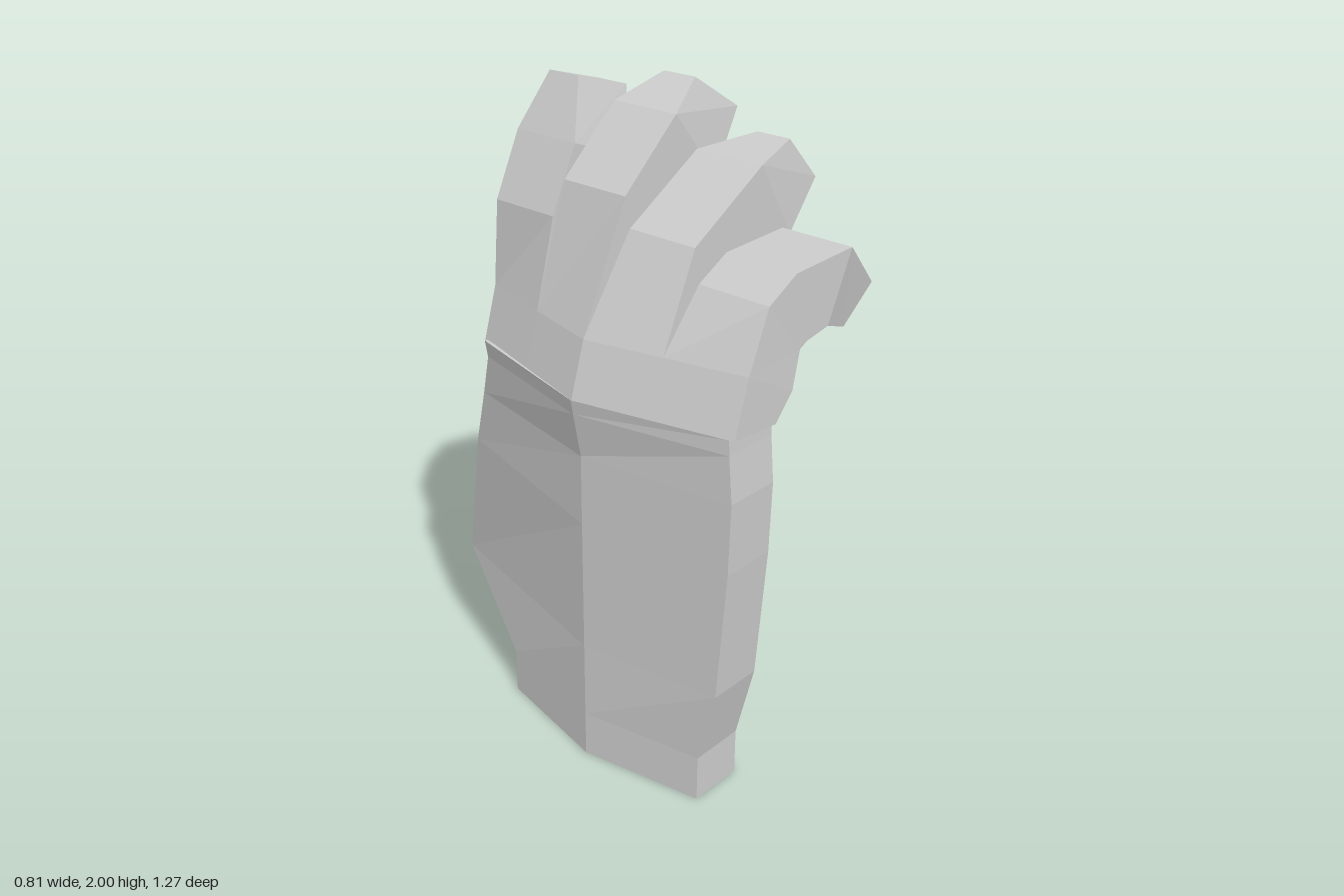
import * as THREE from 'three';

const material = new THREE.MeshStandardMaterial({ color: 0xcccccc, flatShading: true });

// Skin a list of equal-length rings of [x, y, z] and close both ends.
// Rings run counter-clockwise when seen from the far end.
function loft(name, rings) {
  const pos = [];
  const tri = (a, b, c) => pos.push(...a, ...b, ...c);
  const n = rings[0].length;
  for (let k = 0; k < rings.length - 1; k++) {
    for (let i = 0; i < n; i++) {
      const j = (i + 1) % n;
      const [a, b, c, d] = [rings[k][i], rings[k][j], rings[k + 1][j], rings[k + 1][i]];
      tri(a, b, c);
      tri(a, c, d);
    }
  }
  const first = rings[0], last = rings[rings.length - 1];
  for (let i = 1; i < n - 1; i++) {
    tri(first[0], first[i + 1], first[i]);
    tri(last[0], last[i], last[i + 1]);
  }
  const geometry = new THREE.BufferGeometry();
  geometry.setAttribute('position', new THREE.Float32BufferAttribute(pos, 3));
  geometry.computeVertexNormals();
  const mesh = new THREE.Mesh(geometry, material);
  mesh.name = name;
  return mesh;
}

// Six-sided palm ring: y, little-finger side z, inner ridge x, back ridge x,
// then the two corners on the thumb side.
const palmRing = (y, zFront, xInner, xBack, innerCorner, backCorner) => [
  [-0.3, y, zFront], [-0.125, y, zFront], [xInner, y, 0.15],
  innerCorner, backCorner, [xBack, y, 0.15],
];

// Depth of the knuckle line on the back and inner side of the hand
const knuckleBack = (z) => -0.41 + 0.11 * Math.abs(z - 0.15) / 0.47;
const knuckleInner = (z) => -0.085 - 0.04 * Math.abs(z - 0.15) / 0.47;

// Finger: stations of [back x, back y, inner x, inner y], the last one narrowed to the tip
function finger(name, z0, z1, tip0, tip1, stations) {
  const rings = [
    [[knuckleBack(z1), 1.225, z1], [knuckleInner(z1), 1.215, z1],
      [knuckleInner(z0), 1.215, z0], [knuckleBack(z0), 1.225, z0]],
    [[knuckleBack(z1) + 0.05, 1.39, z1], [-0.06, 1.29, z1],
      [-0.06, 1.29, z0], [knuckleBack(z0) + 0.05, 1.39, z0]],
  ];
  stations.forEach(([bx, by, ix, iy], k) => {
    const end = k === stations.length - 1;
    const [a, b] = end ? [tip0, tip1] : [z0 + 0.004, z1 - 0.004];
    rings.push([[bx, by, b], [ix, iy, b], [ix, iy, a], [bx, by, a]]);
  });
  return loft(name, rings);
}

export function createModel() {
  const hand = new THREE.Group();
  hand.name = 'hand';

  // Wrist, palm and knuckles
  hand.add(loft('palm', [
    palmRing(0, 0.54, -0.05, -0.375, [-0.125, 0, -0.245], [-0.3, 0, -0.245]),
    palmRing(0.15, 0.54, -0.05, -0.375, [-0.125, 0.15, -0.245], [-0.3, 0.15, -0.245]),
    palmRing(0.4, 0.6, -0.05, -0.375, [-0.08, 0.37, -0.39], [-0.21, 0.39, -0.55]),
    palmRing(0.82, 0.63, -0.05, -0.375, [-0.06, 0.88, -0.33], [-0.26, 0.85, -0.43]),
    palmRing(1.04, 0.635, -0.05, -0.375, [-0.1, 1.04, -0.32], [-0.28, 1.04, -0.365]),
    palmRing(1.18, 0.622, -0.05, -0.402, [-0.125, 1.18, -0.315], [-0.3, 1.18, -0.315]),
    palmRing(1.225, 0.62, -0.085, -0.41, [-0.125, 1.225, -0.315], [-0.31, 1.235, -0.315]),
  ]));

  // Four curled fingers
  hand.add(finger('littleFinger', 0.392, 0.635, 0.465, 0.582, [
    [-0.17, 1.56, -0.03, 1.4], [-0.06, 1.62, 0, 1.415], [0.18, 1.63, 0.09, 1.43], [0.36, 1.47, 0.235, 1.37],
  ]));
  hand.add(finger('ringFinger', 0.152, 0.392, 0.22, 0.335, [
    [-0.18, 1.66, 0, 1.46], [0.09, 1.825, 0.225, 1.6], [0.275, 1.85, 0.405, 1.715],
  ]));
  hand.add(finger('middleFinger', -0.088, 0.152, -0.037, 0.08, [
    [-0.19, 1.75, 0, 1.52], [0.01, 1.935, 0.18, 1.73], [0.165, 2, 0.355, 1.885],
  ]));
  hand.add(finger('indexFinger', -0.328, -0.088, -0.28, -0.165, [
    [-0.23, 1.65, -0.03, 1.53], [-0.14, 1.84, 0.06, 1.77], [-0.05, 2, 0.145, 1.945],
  ]));

  // Thumb, reaching forward and out from the side of the palm
  hand.add(loft('thumb', [
    [[-0.06, 0.88, -0.33], [-0.08, 0.37, -0.39], [-0.21, 0.39, -0.55], [-0.26, 0.85, -0.43]],
    [[-0.03, 0.89, -0.35], [0, 0.47, -0.44], [-0.07, 0.49, -0.605], [-0.13, 0.9, -0.485]],
    [[0, 0.9, -0.365], [0.19, 0.76, -0.47], [0.12, 0.8, -0.635], [-0.04, 0.95, -0.525]],
    [[0.08, 1.03, -0.335], [0.3, 0.87, -0.45], [0.27, 0.93, -0.62], [0.04, 1.08, -0.5]],
    [[0.235, 1.135, -0.33], [0.38, 1.03, -0.41], [0.34, 1.09, -0.57], [0.2, 1.2, -0.49]],
  ]));

  return hand;
}
